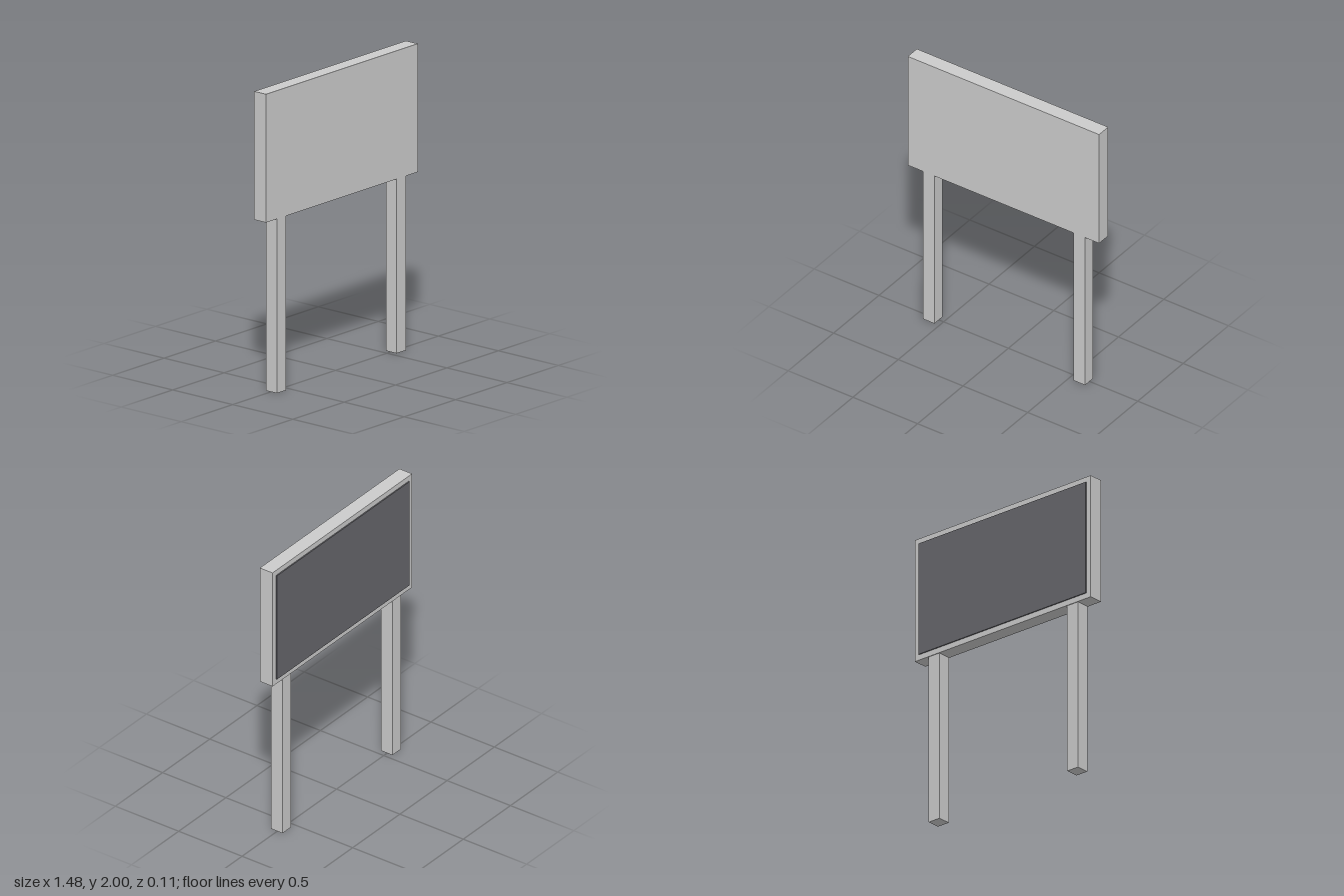
import * as THREE from 'three';

const grey = new THREE.MeshStandardMaterial({ color: 0xcccccc });
const dark = new THREE.MeshStandardMaterial({ color: 0x66666b });

// Box placed by its centre
function box(name, material, [w, h, d], [x, y, z]) {
  const mesh = new THREE.Mesh(new THREE.BoxGeometry(w, h, d), material);
  mesh.name = name;
  mesh.position.set(x, y, z);
  return mesh;
}

export function createModel() {
  const group = new THREE.Group();
  group.name = 'signBoard';

  const boardBottom = 1.153, top = 2, boardZ = 0.004;
  const boardHeight = top - boardBottom;
  const boardY = (top + boardBottom) / 2;

  // Thick board carried by the posts
  group.add(box('board', grey, [1.478, boardHeight, 0.1], [0, boardY, boardZ]));

  // Thin dark panel on the back, leaving an even border
  group.add(box('displayPanel', dark, [1.404, boardHeight - 0.074, 0.008], [0, boardY, boardZ - 0.054]));

  // Two square posts
  for (const [name, side] of [['leftPost', 1], ['rightPost', -1]]) {
    group.add(box(name, grey, [0.09, boardBottom, 0.09], [side * 0.582, boardBottom / 2, boardZ]));
  }

  return group;
}
